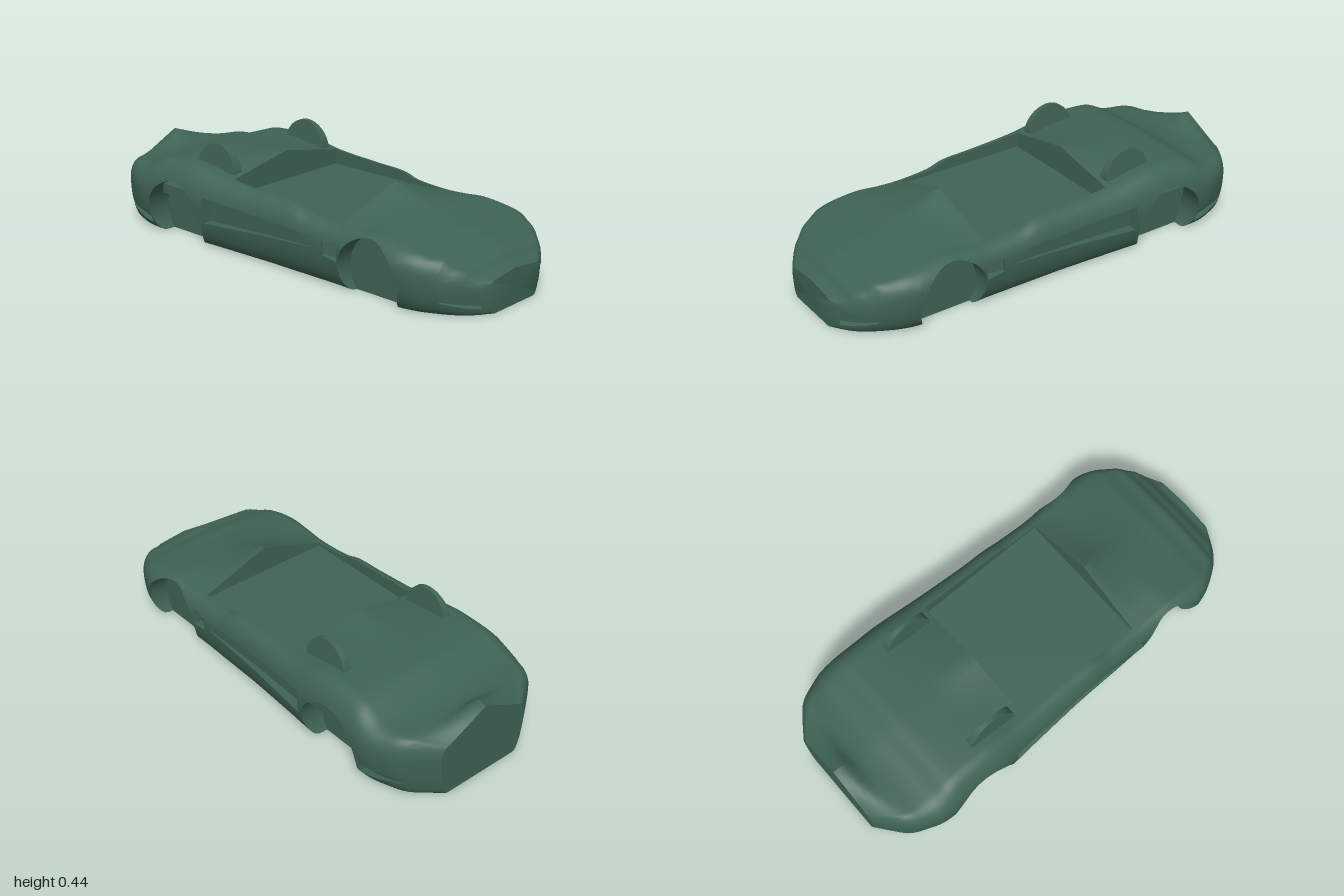
import * as THREE from 'three';
import { toCreasedNormals } from 'three/addons/utils/BufferGeometryUtils.js';

// Stations along the car: x, half width, centre height, shoulder height, belt height
const stations = [
  [-1, 0.23, 0.345, 0.25, 0.19], [-0.95, 0.30, 0.343, 0.27, 0.2], [-0.9, 0.36, 0.302, 0.285, 0.2],
  [-0.82, 0.40, 0.298, 0.288, 0.2], [-0.76, 0.42, 0.312, 0.3, 0.2], [-0.68, 0.425, 0.352, 0.34, 0.2],
  [-0.6, 0.424, 0.36, 0.352, 0.2], [-0.45, 0.423, 0.365, 0.352, 0.2], [-0.25, 0.41, 0.383, 0.32, 0.2],
  [0, 0.395, 0.38, 0.305, 0.2], [0.14, 0.392, 0.378, 0.298, 0.2], [0.22, 0.39, 0.376, 0.275, 0.19],
  [0.38, 0.386, 0.375, 0.265, 0.18], [0.48, 0.392, 0.335, 0.268, 0.18], [0.58, 0.402, 0.298, 0.275, 0.18],
  [0.7, 0.402, 0.271, 0.262, 0.18], [0.77, 0.383, 0.265, 0.25, 0.17], [0.82, 0.357, 0.25, 0.235, 0.16],
  [0.87, 0.325, 0.245, 0.225, 0.14], [0.9, 0.302, 0.213, 0.195, 0.13], [0.93, 0.272, 0.2, 0.185, 0.12],
  [0.96, 0.232, 0.163, 0.15, 0.11], [1, 0.16, 0.155, 0.14, 0.1],
];
const arches = [{ c: -0.542, r: 0.167 }, { c: 0.563, r: 0.16 }];
const archY = 0.1, archInner = 0.3;
const cockpit = { x0: -0.25, x1: 0.375, floor: 0.252 };
// Side recesses: x range, then upper edge, lower edge and depth at both ends
const recesses = [
  { x0: -0.355, x1: 0.27, hi: [0.235, 0.205], lo: [0.12, 0.16], depth: [0.045, 0.004] },
  { x0: 0.32, x1: 0.402, hi: [0.2, 0.212], lo: [0.14, 0.125], depth: [0.012, 0.045] },
  { x0: -0.91, x1: -0.71, hi: [0.098, 0.1], lo: [0.075, 0.035], depth: [0.005, 0.04] },
  { x0: 0.87, x1: 0.98, hi: [0.085, 0.105], lo: [0.06, 0.03], depth: [0.012, 0.05] },
];

// Smooth interpolation of one station column
function at(x, k) {
  const S = stations, n = S.length;
  let i = 0;
  while (i < n - 2 && x > S[i + 1][0]) i++;
  const slope = j => {
    const a = S[Math.max(j - 1, 0)], b = S[Math.min(j + 1, n - 1)];
    return (b[k] - a[k]) / (b[0] - a[0]);
  };
  const h = S[i + 1][0] - S[i][0], t = (x - S[i][0]) / h, t2 = t * t, t3 = t2 * t;
  return S[i][k] * (2 * t3 - 3 * t2 + 1) + S[i + 1][k] * (3 * t2 - 2 * t3)
    + h * (slope(i) * (t3 - 2 * t2 + t) + slope(i + 1) * (t3 - t2));
}

// Half cross-section as [z, y] points, from top centre down to bottom centre
function halfSection(x) {
  const w = at(x, 1), yt = at(x, 2), ys = at(x, 3), yb = at(x, 4);
  const zs = Math.min(0.32, 0.83 * w), zb = 0.8 * w;
  const outer = y => y >= yb
    ? zs + (w - zs) * Math.sqrt(Math.max(0, 1 - ((y - yb) / (ys - yb)) ** 2))
    : zb + (w - zb) * Math.sqrt(Math.max(0, 1 - (1 - y / yb) ** 2));
  let hi = archY, lo = archY, inHi = outer(archY), inLo = inHi, open = false;
  for (const r of recesses) {
    if (x <= r.x0 || x >= r.x1) continue;
    const t = (x - r.x0) / (r.x1 - r.x0), mix = p => p[0] + (p[1] - p[0]) * t;
    hi = mix(r.hi); lo = mix(r.lo);
    inHi = outer(hi) - mix(r.depth); inLo = outer(lo) - mix(r.depth);
  }
  for (const { c, r } of arches) {
    const d = r * r - (x - c) ** 2;
    if (d <= 0) continue;
    hi = Math.min(archY + Math.sqrt(d), ys);
    lo = Math.max(0, archY - Math.sqrt(d));
    inHi = inLo = archInner;
    open = lo === 0;
  }
  const pts = [], cut = x > cockpit.x0 && x < cockpit.x1;
  for (let i = 0; i <= 8; i++) {
    const t = i / 8;
    pts.push([zs * t, cut ? cockpit.floor : yt + (ys - yt) * t]);
  }
  for (let i = 0; i <= 14; i++) {
    const y = hi + (ys - hi) * Math.cos(i / 14 * Math.PI / 2);
    pts.push([outer(y), y]);
  }
  pts.push([inHi, hi], [inLo, lo]);
  for (let i = 0; i <= 8; i++) {
    const y = lo * (1 - Math.sin(i / 8 * Math.PI / 2));
    pts.push([open ? archInner : outer(y), y]);
  }
  pts.push([0, 0]);
  return pts;
}

// Column positions: even spacing, plus pairs at every sharp boundary
function columns() {
  const xs = [], edges = [cockpit.x0, cockpit.x1];
  for (let i = 0; i <= 110; i++) xs.push(-1 + i / 55);
  for (const r of recesses) edges.push(r.x0, r.x1);
  for (const { c, r } of arches) {
    for (let i = 1; i < 32; i++) xs.push(c - r * Math.cos(i / 32 * Math.PI));
    const b = Math.sqrt(r * r - archY * archY);
    edges.push(c - r, c + r, c - b, c + b);
  }
  for (const e of edges) xs.push(e - 1e-4, e + 1e-4);
  return xs.sort((a, b) => a - b);
}

function bodyGeometry() {
  const pos = [];
  const rings = columns().map(x => {
    const half = halfSection(x);
    const mirrored = half.slice(1, -1).reverse().map(([z, y]) => [-z, y]);
    return [...half, ...mirrored].map(([z, y]) => new THREE.Vector3(x, y, z));
  });
  const tri = (a, b, c) => {
    const area = b.clone().sub(a).cross(c.clone().sub(a)).length();
    if (area > 1e-10) pos.push(...a.toArray(), ...b.toArray(), ...c.toArray());
  };
  const n = rings[0].length, first = rings[0], last = rings[rings.length - 1];
  const c0 = new THREE.Vector3(-1, 0.12, 0), c1 = new THREE.Vector3(1, 0.08, 0);
  for (let j = 0; j < n; j++) {
    const k = (j + 1) % n;
    for (let i = 0; i < rings.length - 1; i++) {
      const a = rings[i][j], b = rings[i][k], c = rings[i + 1][k], d = rings[i + 1][j];
      tri(a, b, d);
      tri(b, c, d);
    }
    tri(c0, first[k], first[j]);
    tri(c1, last[j], last[k]);
  }
  const g = new THREE.BufferGeometry();
  g.setAttribute('position', new THREE.Float32BufferAttribute(pos, 3));
  return toCreasedNormals(g, 0.6);
}

// Rounded headrest fin, thinner towards its top
function finGeometry() {
  const s = new THREE.Shape();
  s.absellipse(0, 0, 0.115, 0.115, 0, Math.PI, false);
  const g = new THREE.ExtrudeGeometry(s, { depth: 1, bevelEnabled: false, curveSegments: 24 });
  const p = g.attributes.position;
  for (let i = 0; i < p.count; i++) {
    const width = 0.05 - 0.03 * p.getY(i) / 0.115;
    p.setZ(i, (p.getZ(i) - 0.5) * width);
  }
  return toCreasedNormals(g, 0.6);
}

export function createModel() {
  const paint = new THREE.MeshStandardMaterial({ color: 0x3f6353 });
  paint.name = 'green paint';
  const group = new THREE.Group();
  group.name = 'openRacingCarBody';
  const add = (name, geometry, x, y, z) => {
    const m = new THREE.Mesh(geometry, paint);
    m.name = name;
    m.position.set(x, y, z);
    group.add(m);
  };

  add('bodyShell', bodyGeometry(), 0, 0, 0);
  const fin = finGeometry(), duct = new THREE.BoxGeometry(0.27, 0.045, 0.1);
  for (const [side, s] of [['left', 1], ['right', -1]]) {
    add(side + 'HeadrestFin', fin, -0.39, 0.33, s * 0.275);
    // air duct running through the top of the rear wheel arch
    add(side + 'AirDuct', duct, -0.495, 0.2175, s * 0.345);
  }
  return group;
}
